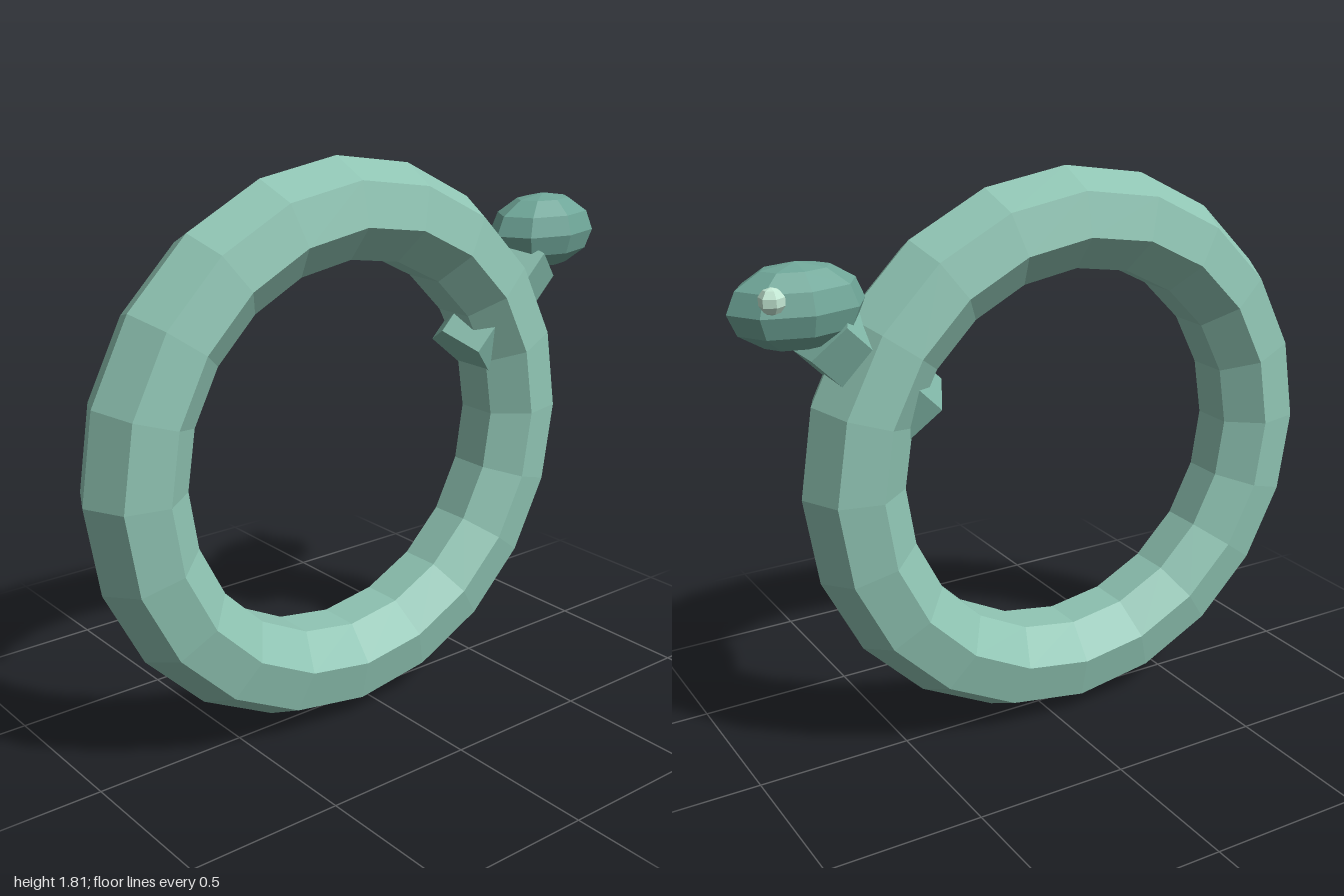
import * as THREE from 'three';

export function createModel() {
  const model = new THREE.Group();

  const add = (name, geometry, color, x, y, z) => {
    const material = new THREE.MeshStandardMaterial({ color, flatShading: true });
    const mesh = new THREE.Mesh(geometry, material);
    mesh.name = name;
    mesh.position.set(x, y, z);
    model.add(mesh);
    return mesh;
  };

  // Upright body ring with a seven-sided section
  add('bodyRing', new THREE.TorusGeometry(0.745, 0.16, 7, 20), 0x8fc4b3, -0.095, 0.907, 0);

  // Five-sided neck leaning 45 degrees, passing through the ring into the head
  const start = new THREE.Vector2(0.426, 1.122);
  const end = new THREE.Vector2(0.715, 1.412);
  const neckGeometry = new THREE.CylinderGeometry(0.119, 0.119, start.distanceTo(end), 5);
  neckGeometry.rotateY(-Math.PI / 2);
  const neck = add('neck', neckGeometry, 0x7fb5a5, (start.x + end.x) / 2, (start.y + end.y) / 2, 0);
  neck.rotation.z = -Math.PI / 4;

  // Flattened head
  const head = add('head', new THREE.SphereGeometry(1, 8, 6), 0x6fa698, 0.788, 1.49, 0);
  head.scale.set(0.208, 0.127, 0.137);

  // Single small eye on the back side
  const eye = add('eye', new THREE.SphereGeometry(0.039, 6, 5), 0xc4e8d4, 0.902, 1.54, -0.107);
  eye.rotation.y = Math.PI / 2;

  return model;
}
